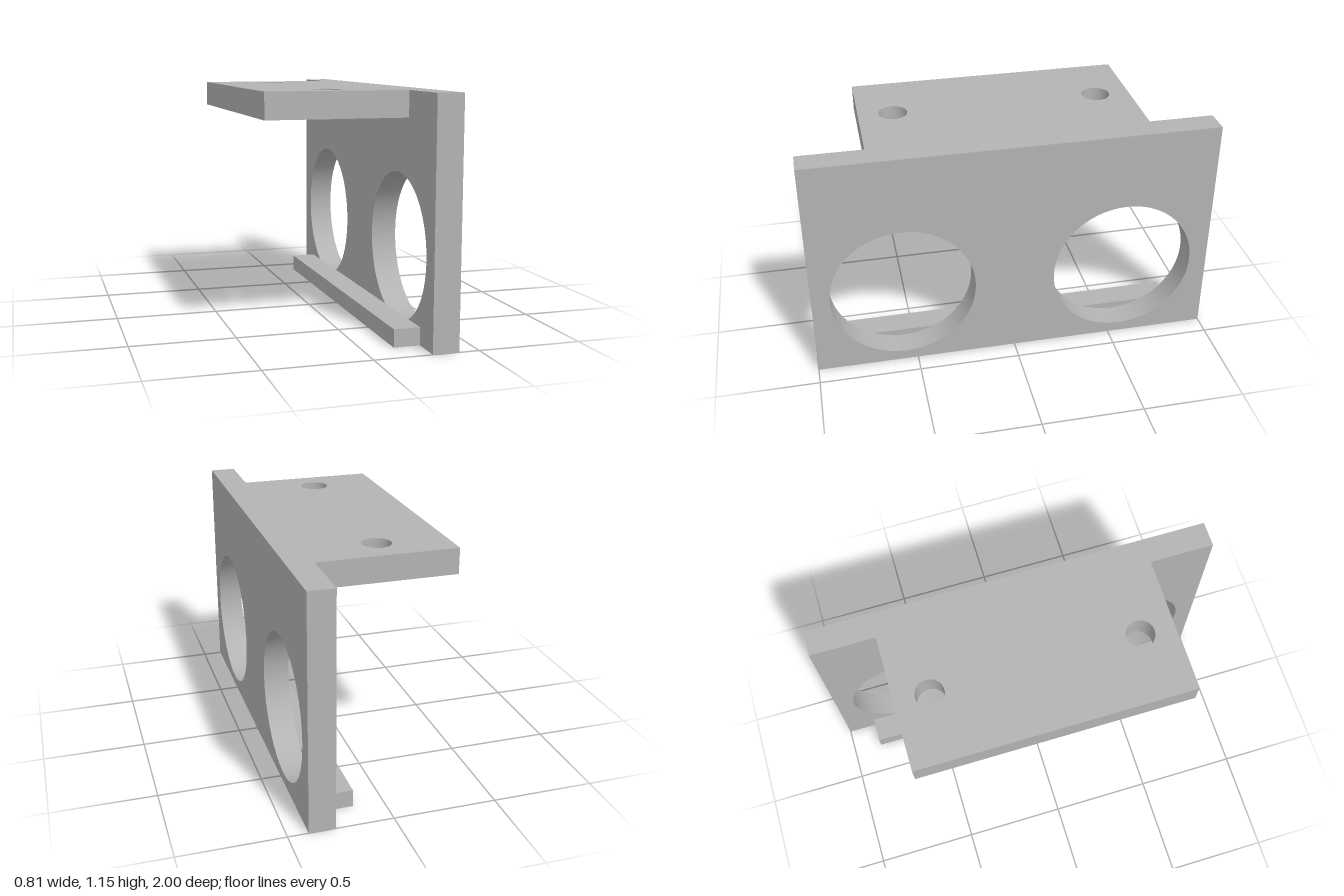
import * as THREE from 'three';
import { toCreasedNormals } from 'three/addons/utils/BufferGeometryUtils.js';

// Rectangular plate with round holes [x, y, radius], extruded along z
function plate(x0, x1, y0, y1, depth, holes) {
  const shape = new THREE.Shape();
  shape.moveTo(x0, y0).lineTo(x1, y0).lineTo(x1, y1).lineTo(x0, y1).closePath();
  for (const [x, y, r] of holes) {
    shape.holes.push(new THREE.Path().absarc(x, y, r, 0, Math.PI * 2, true));
  }
  const geo = new THREE.ExtrudeGeometry(shape, { depth, bevelEnabled: false, curveSegments: 48 });
  return toCreasedNormals(geo, Math.PI / 6);
}

export function createModel() {
  const group = new THREE.Group();
  const grey = new THREE.MeshStandardMaterial({ color: 0xb3b3b3 });
  grey.name = 'plain grey';

  const add = (name, geometry) => {
    const mesh = new THREE.Mesh(geometry, grey);
    mesh.name = name;
    group.add(mesh);
  };

  const inner = 0.276, outer = 0.403, height = 1.15;

  // Upright wall with two large round openings
  const wall = plate(-1, 1, 0, height, outer - inner, [-1, 1].map(s => [s * 0.554, 0.406, 0.356]));
  wall.rotateY(Math.PI / 2).translate(inner, 0, 0);
  add('wall', wall);

  // Top mounting flange with two screw holes
  const flange = plate(-outer, inner, -0.681, 0.681, 0.126, [-1, 1].map(s => [-0.067, s * 0.511, 0.07]));
  flange.rotateX(Math.PI / 2).translate(0, height, 0);
  add('mountingFlange', flange);

  // Small lip along the bottom edge
  const lip = new THREE.BoxGeometry(0.127, 0.085, 1.704);
  lip.translate(inner - 0.0635, 0.0425, 0);
  add('bottomLip', lip);

  return group;
}
